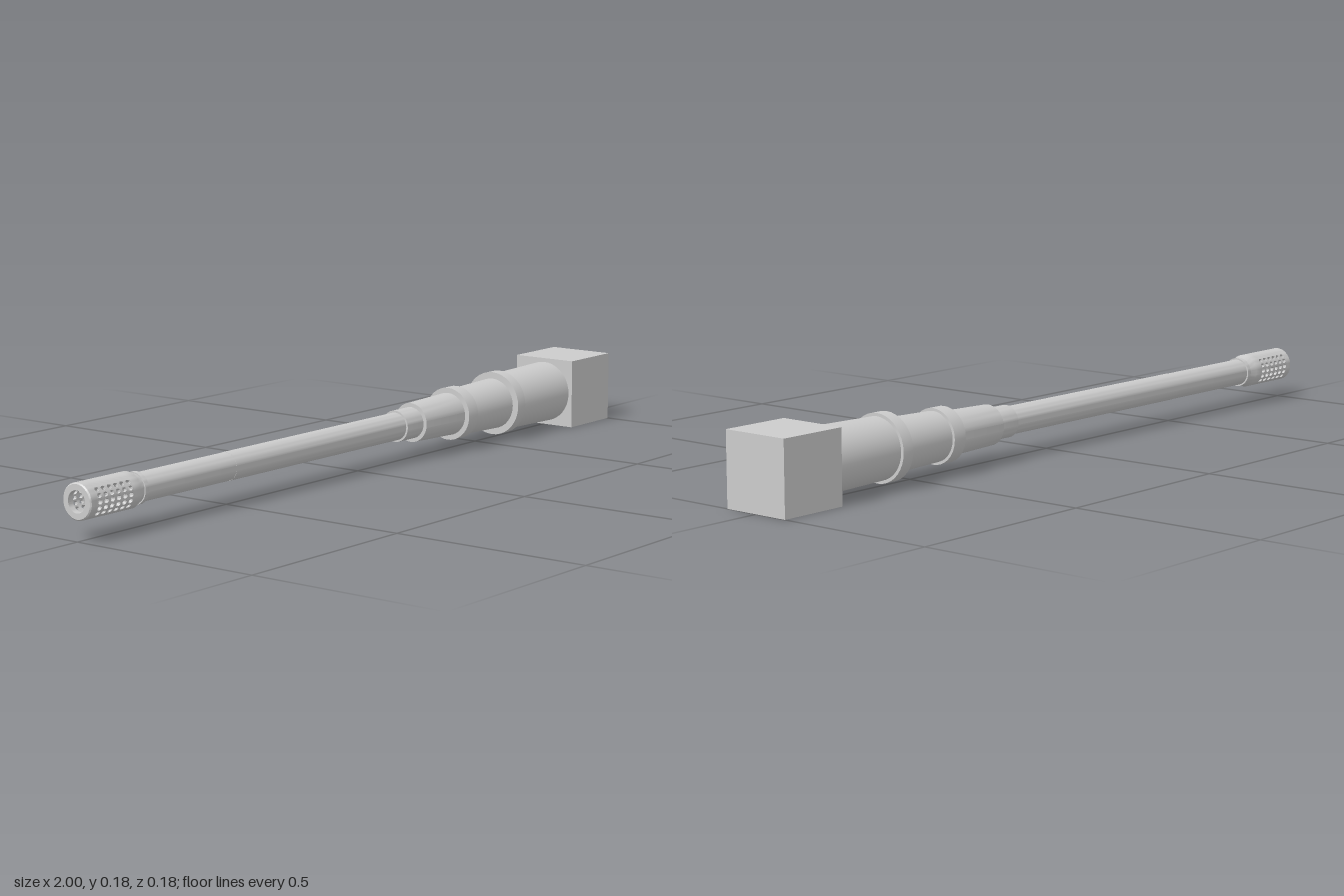
import * as THREE from 'three';
import { mergeGeometries, toCreasedNormals } from 'three/addons/utils/BufferGeometryUtils.js';

const AXIS_Y = 0.09;
const material = new THREE.MeshStandardMaterial({ color: 0xcccccc });

// Turned part along x from [x, radius] pairs
function turned(name, profile) {
  const points = profile.map(([x, r]) => new THREE.Vector2(r, x));
  const geometry = new THREE.LatheGeometry(points, 36).rotateZ(-Math.PI / 2);
  const mesh = new THREE.Mesh(toCreasedNormals(geometry, 0.5), material);
  mesh.name = name;
  return mesh;
}

// Small wall tile, optionally pierced, bent around the x axis
function wallTile(x, angle, length, arc, inner, outer, pierced) {
  const h = length / 2, a = arc / 2;
  const shape = new THREE.Shape([[-h, -a], [h, -a], [h, 0], [h, a], [-h, a], [-h, 0]]
    .map(([u, v]) => new THREE.Vector2(u, v)));
  if (pierced) {
    const hole = [];
    for (let i = 0; i < 8; i++) {
      const t = -(i + 0.5) * Math.PI / 4;
      hole.push(new THREE.Vector2(Math.cos(t) * h * 0.72, Math.sin(t) * a * 0.76));
    }
    shape.holes.push(new THREE.Path(hole));
  }
  const geometry = new THREE.ExtrudeGeometry(shape, { depth: outer - inner, bevelEnabled: false });
  const p = geometry.attributes.position;
  for (let i = 0; i < p.count; i++) {
    const r = inner + p.getZ(i), t = angle + p.getY(i);
    p.setXYZ(i, x + p.getX(i), r * Math.sin(t), r * Math.cos(t));
  }
  return geometry;
}

// Cylindrical sleeve with hole fields on both sides
function perforatedSleeve() {
  const rows = 18, columns = 6, length = 0.02, arc = 2 * Math.PI / rows;
  const tiles = [];
  for (let row = 0; row < rows; row++) {
    const angle = row * arc;
    const pierced = Math.abs(Math.sin(angle)) < 0.7;
    for (let c = 0; c < columns; c++) {
      tiles.push(wallTile(-0.97 + c * length, angle, length, arc, 0.035, 0.043, pierced));
    }
  }
  const mesh = new THREE.Mesh(toCreasedNormals(mergeGeometries(tiles), 0.5), material);
  mesh.name = 'perforatedSleeve';
  return mesh;
}

export function createModel() {
  const model = new THREE.Group();
  model.name = 'cannonBarrel';
  const tube = new THREE.Group();
  tube.name = 'barrelAssembly';
  tube.position.y = AXIS_Y;
  model.add(tube);

  // Muzzle brake: front lip, pierced sleeve, tapered rear
  tube.add(
    turned('muzzleLip', [[-0.98, 0.035], [-0.985, 0.026], [-1, 0.026], [-1, 0.04],
      [-0.997, 0.043], [-0.98, 0.043]]),
    perforatedSleeve(),
    turned('muzzleBrakeRear', [[-0.6, 0], [-0.6, 0.022], [-0.86, 0.022], [-0.86, 0.043],
      [-0.838, 0.043], [-0.82, 0.035], [-0.815, 0.035]]),
    turned('muzzleRing', [[-0.818, 0.032], [-0.818, 0.038], [-0.806, 0.038], [-0.806, 0.032]])
  );

  // Barrel and stepped sleeves growing towards the breech
  tube.add(
    turned('barrel', [[-0.82, 0.034], [-0.5, 0.034], [-0.5, 0.0345], [0.16, 0.035]]),
    turned('frontCollar', [[0.153, 0.03], [0.153, 0.04], [0.225, 0.04]]),
    turned('frontSleeve', [[0.219, 0.035], [0.219, 0.05], [0.385, 0.055]]),
    turned('middleRing', [[0.378, 0.05], [0.378, 0.068], [0.417, 0.068], [0.417, 0.055]]),
    turned('middleSleeve', [[0.41, 0.061], [0.58, 0.066]]),
    turned('rearRing', [[0.577, 0.06], [0.577, 0.083], [0.61, 0.083], [0.61, 0.07]]),
    turned('rearSleeve', [[0.6, 0.075], [0.83, 0.08]])
  );

  // Breech block
  const breech = new THREE.Mesh(new THREE.BoxGeometry(0.18, 0.18, 0.18), material);
  breech.name = 'breechBlock';
  breech.position.set(0.91, AXIS_Y, 0);
  model.add(breech);
  return model;
}
